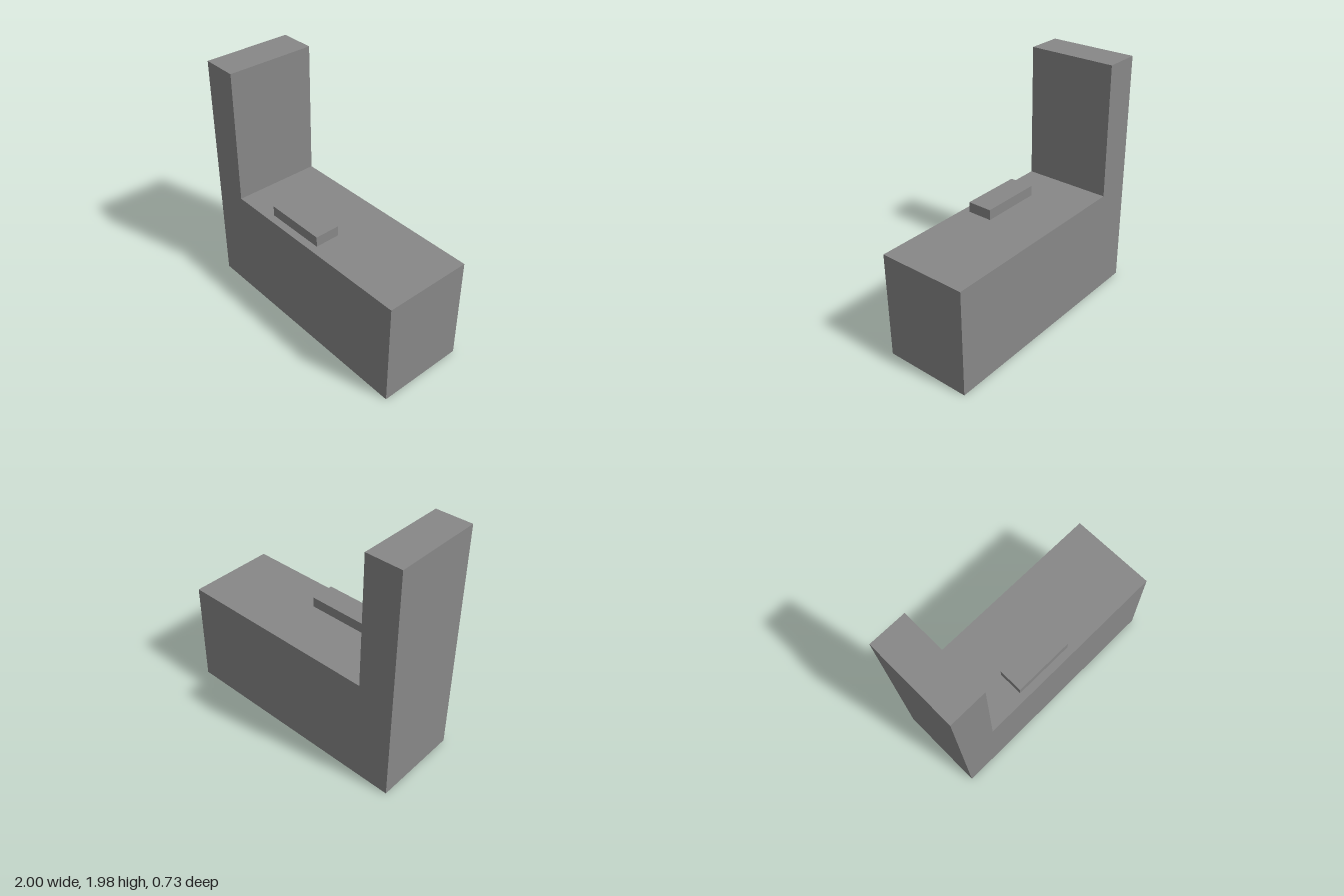
import * as THREE from 'three';

export function createModel() {
  const group = new THREE.Group();
  const material = new THREE.MeshStandardMaterial({ color: 0x888888 });
  const depth = 0.73;
  const deck = 0.886;

  // L-shaped body: long block with a tall upright at the right end
  const profile = new THREE.Shape([
    [-1, 0], [1, 0], [1, deck], [-0.707, deck], [-0.707, 1.976], [-1, 1.976],
  ].map(([x, y]) => new THREE.Vector2(x, y)));
  const bodyGeometry = new THREE.ExtrudeGeometry(profile, { depth, bevelEnabled: false });
  bodyGeometry.translate(0, 0, -depth / 2);
  const body = new THREE.Mesh(bodyGeometry, material);
  body.name = 'body';
  group.add(body);

  // Low slab resting on the block, near the front
  const slabHeight = 0.085;
  const slab = new THREE.Mesh(new THREE.BoxGeometry(0.515, slabHeight, 0.205), material);
  slab.name = 'topSlab';
  slab.position.set(-0.1, deck + slabHeight / 2, 0.2);
  group.add(slab);

  return group;
}
